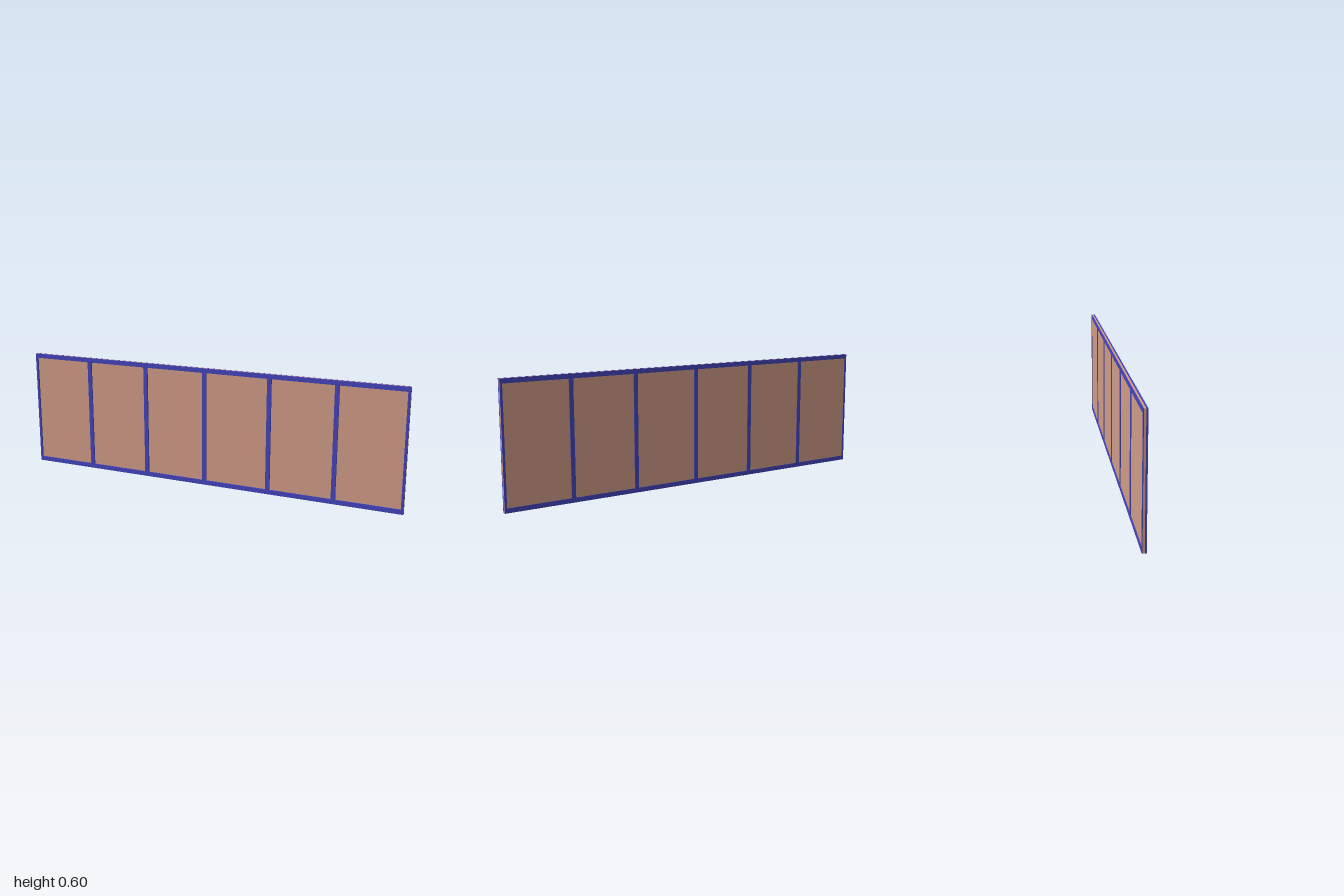
import * as THREE from 'three';

const HEIGHT = 0.595;
const RAIL = 0.022;

export function createModel() {
  const model = new THREE.Group();
  model.name = 'framedPanel';
  const blue = new THREE.MeshStandardMaterial({ color: 0x4444bb });
  const tan = new THREE.MeshStandardMaterial({ color: 0xd09c86 });

  function box(name, parent, material, [w, h, d], [x, y, z]) {
    const mesh = new THREE.Mesh(new THREE.BoxGeometry(w, h, d), material);
    mesh.name = name;
    mesh.position.set(x, y, z);
    parent.add(mesh);
  }

  // Full-size infill sheet between the two frames
  box('infillPanel', model, tan, [2, HEIGHT, 0.009], [0, HEIGHT / 2, -0.0025]);

  // Flat lattice of rails and posts lying on one face of the sheet
  function frame(name, zBack, zFront) {
    const group = new THREE.Group();
    group.name = name;
    const d = zFront - zBack, z = (zBack + zFront) / 2;
    box('bottomRail', group, blue, [2, RAIL, d], [0, RAIL / 2, z]);
    box('topRail', group, blue, [2, RAIL, d], [0, HEIGHT - RAIL / 2, z]);

    const postHeight = HEIGHT - 2 * RAIL;
    for (const x of [-0.663, -0.331, -0.002, 0.337, 0.668])
      box('post', group, blue, [0.021, postHeight, d], [x, HEIGHT / 2, z]);
    for (const side of [-1, 1])
      box('endPost', group, blue, [0.011, postHeight, d], [side * 0.9945, HEIGHT / 2, z]);
    model.add(group);
  }
  frame('frontFrame', 0.002, 0.01);
  frame('backFrame', -0.01, -0.007);

  return model;
}
